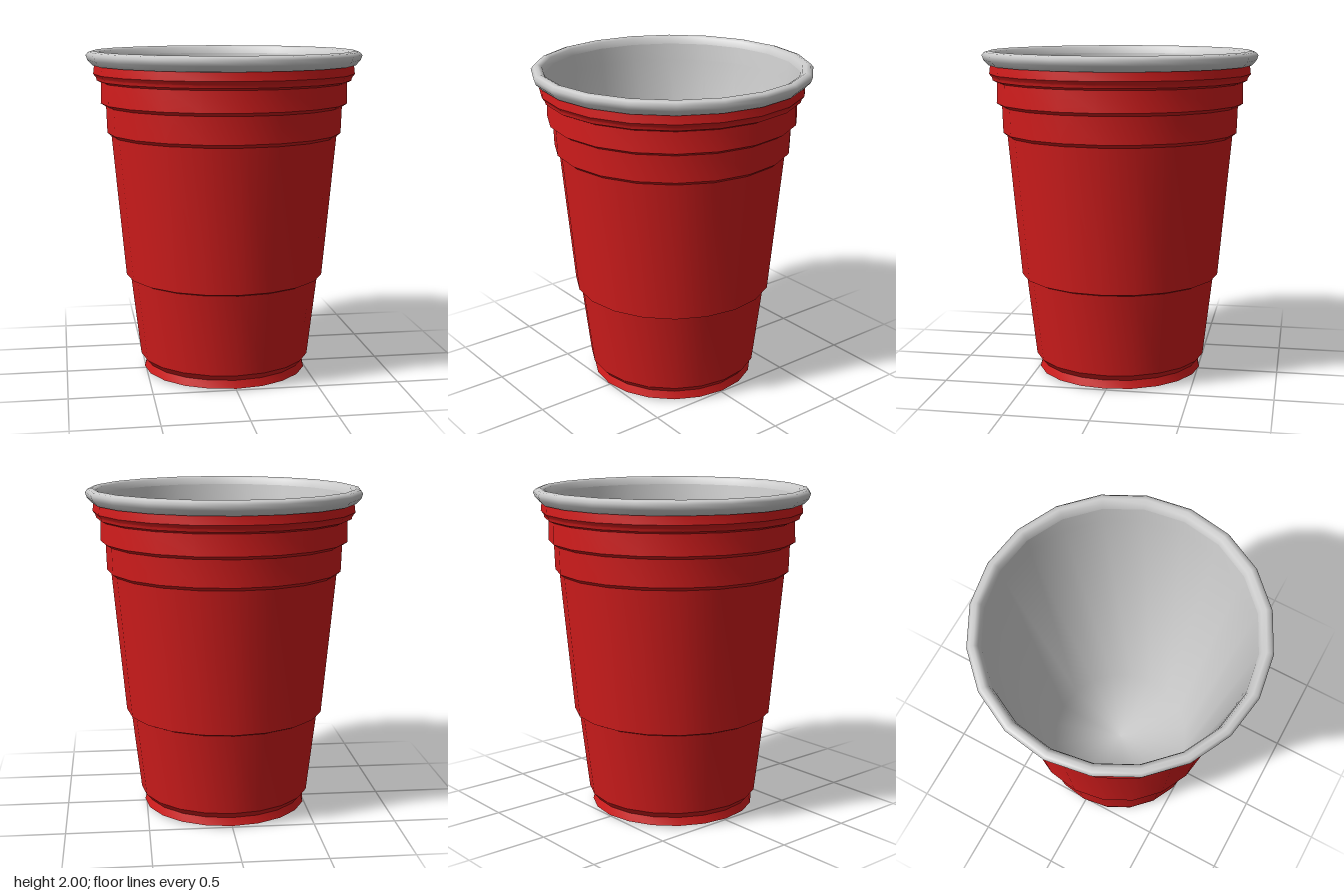
import * as THREE from 'three';
import { toCreasedNormals } from 'three/addons/utils/BufferGeometryUtils.js';

const SIDES = 20;

function lathe(name, profile, color, crease) {
  const points = profile.map(([r, y]) => new THREE.Vector2(r, y));
  let geometry = new THREE.LatheGeometry(points, SIDES);
  if (crease) geometry = toCreasedNormals(geometry, crease);
  const mesh = new THREE.Mesh(geometry, new THREE.MeshStandardMaterial({ color }));
  mesh.name = name;
  return mesh;
}

export function createModel() {
  const cup = new THREE.Group();
  cup.name = 'cup';

  // Stepped outer wall with its base, from the bottom centre upwards
  cup.add(lathe('outerShell', [
    [0, 0], [0.51, 0.012], [0.495, 0.06], [0.53, 0.1],
    [0.588, 0.605], [0.615, 0.617],
    [0.693, 1.485], [0.718, 1.505],
    [0.723, 1.665], [0.755, 1.685],
    [0.75, 1.81], [0.777, 1.823], [0.78, 1.84],
    [0.797, 1.862], [0.79, 1.92],
  ], 0xd01c1c, 0.5));

  // Rolled lip
  cup.add(lathe('rim', [
    [0.775, 1.91], [0.8, 1.913], [0.83, 1.945], [0.84, 1.975],
    [0.825, 1.993], [0.8, 2], [0.775, 1.988], [0.762, 1.95],
  ], 0xcccccc));

  // Smooth inside wall and floor, from the lip down to the centre
  cup.add(lathe('innerLining', [
    [0.762, 1.95], [0.745, 1.85], [0.46, 0.07], [0, 0.05],
  ], 0xcccccc));

  return cup;
}
